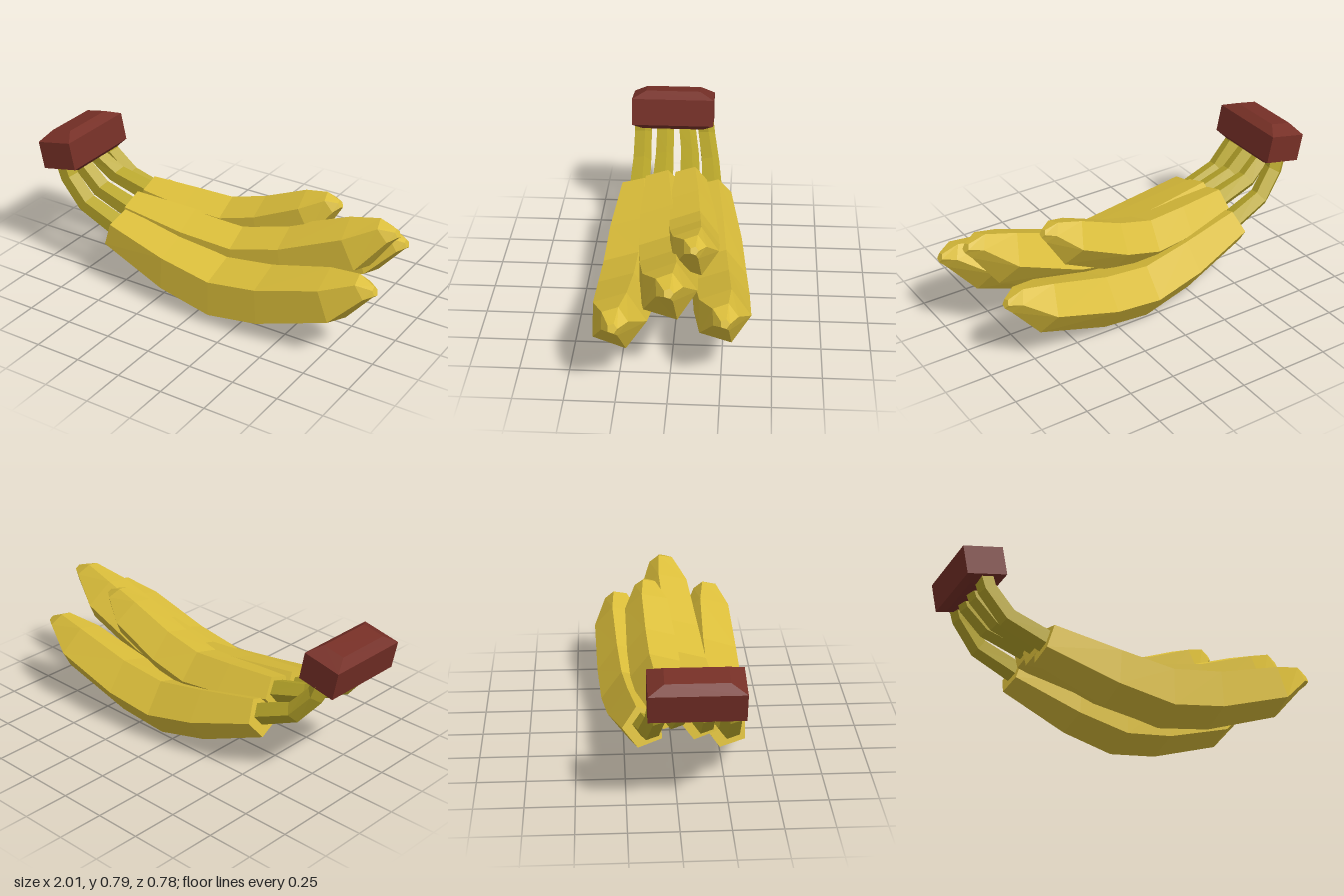
import * as THREE from 'three';

const rad = THREE.MathUtils.degToRad;

// Closed skin over a row of cross-sections (each counter-clockwise about the travel direction)
function loft(sections) {
  const n = sections[0].length, pos = [];
  const tri = (...pts) => pts.forEach(p => pos.push(p.x, p.y, p.z));
  for (let i = 0; i < sections.length - 1; i++) {
    const a = sections[i], b = sections[i + 1];
    for (let k = 0; k < n; k++) {
      const j = (k + 1) % n;
      tri(a[k], a[j], b[k]);
      tri(a[j], b[j], b[k]);
    }
  }
  const first = sections[0], last = sections[sections.length - 1];
  for (let k = 1; k < n - 1; k++) {
    tri(first[0], first[k + 1], first[k]);
    tri(last[0], last[k], last[k + 1]);
  }
  const geo = new THREE.BufferGeometry();
  geo.setAttribute('position', new THREE.Float32BufferAttribute(pos, 3));
  geo.computeVertexNormals();
  return geo;
}

// Five-sided section at (x, y, z), leaning by tilt degrees in the x-y plane
function pentagon(x, y, z, r, tilt) {
  const t = rad(tilt);
  return Array.from({ length: 5 }, (_, k) => {
    const a = (k * Math.PI * 2) / 5;
    const up = Math.sin(a) * r, side = -Math.cos(a) * r;
    return new THREE.Vector3(x - Math.sin(t) * up, y + Math.cos(t) * up, z + side);
  });
}

// Fruit profile from stalk end to tip: x, y, radius, tilt
const PROFILE = [
  [0, 0, 0.112, -17],
  [0.365, -0.105, 0.155, -3],
  [0.66, -0.158, 0.165, 0],
  [0.94, -0.115, 0.163, 3],
  [1.313, 0.005, 0.145, 20],
  [1.475, 0.108, 0.07, 33],
  [1.535, 0.105, 0.025, 25],
];

// start = stalk end of the fruit, top = z where its stalk meets the crown
const FRUITS = [
  { name: 'frontFruit', start: [-0.54, 0.315, 0.255], len: 1, thick: 1, pitch: 0, yaw: 0, top: 0.255 },
  { name: 'middleFruit', start: [-0.54, 0.36, 0.125], len: 1, thick: 1, pitch: 5.4, yaw: 5, top: 0.13 },
  { name: 'shortFruit', start: [-0.53, 0.4, -0.03], len: 0.75, thick: 0.87, pitch: 7, yaw: 4, top: 0.01 },
  { name: 'backFruit', start: [-0.54, 0.32, -0.155], len: 0.945, thick: 0.97, pitch: -0.5, yaw: 4.5, top: -0.095 },
];

export function createModel() {
  const model = new THREE.Group();
  const paint = (name, color) => {
    const m = new THREE.MeshStandardMaterial({ color });
    m.name = name;
    return m;
  };
  const yellow = paint('ripeYellow', 0xdabd3a);
  const olive = paint('stalkOlive', 0xb8a62a);
  const brown = paint('crownBrown', 0x752f26);

  const add = (name, geo, mat) => {
    const mesh = new THREE.Mesh(geo, mat);
    mesh.name = name;
    model.add(mesh);
    return mesh;
  };

  for (const f of FRUITS) {
    // Fruit body
    const rings = PROFILE.map(([x, y, r, t]) => pentagon(x * f.len, y * f.len, 0, r * f.thick, t));
    const body = add(f.name, loft(rings), yellow);
    body.position.set(...f.start);
    body.rotation.set(0, rad(f.yaw), rad(f.pitch), 'YZX');

    // Bent stalk up to the crown
    const [x, y, z] = f.start;
    const lift = y - 0.315;
    const mix = t => THREE.MathUtils.lerp(f.top, z, t);
    add(f.name + 'Stalk', loft([
      pentagon(-0.875, 0.63, mix(0), 0.052, -68),
      pentagon(-0.845, 0.54 + lift * 0.2, mix(0.2), 0.052, -58),
      pentagon(-0.735, 0.41 + lift * 0.7, mix(0.65), 0.055, -36),
      pentagon(x + 0.04, y, z, 0.062, -18),
    ]), olive);
  }

  // Crown block, bevelled above and below: height, half width, half depth
  const crown = add('crown', loft([
    [-0.1, 0.075, 0.17],
    [-0.075, 0.105, 0.23],
    [0.075, 0.105, 0.23],
    [0.115, 0.06, 0.152],
  ].map(([h, w, d]) => [[-w, d], [w, d], [w, -d], [-w, -d]]
    .map(([px, pz]) => new THREE.Vector3(px, h, pz)))), brown);
  crown.position.set(-0.883, 0.67, 0.08);
  crown.rotation.z = rad(11.5);

  return model;
}
